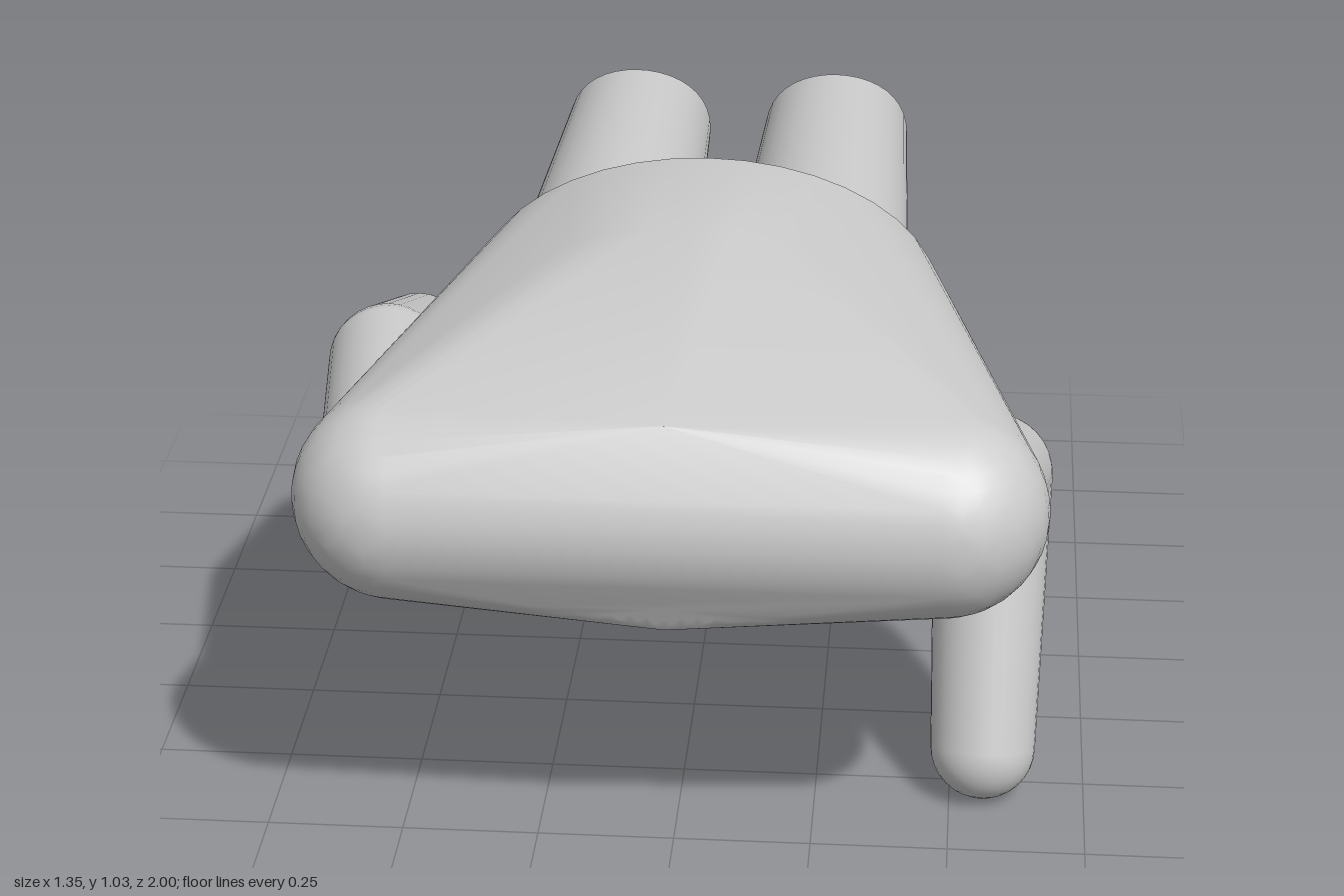
import * as THREE from 'three';
import { ConvexGeometry } from 'three/addons/geometries/ConvexGeometry.js';
import { toCreasedNormals } from 'three/addons/utils/BufferGeometryUtils.js';

const V = (x, y, z) => new THREE.Vector3(x, y, z);
const grey = new THREE.MeshStandardMaterial({ color: 0xcccccc, side: THREE.DoubleSide });

function add(parent, name, geometry) {
  const mesh = new THREE.Mesh(geometry, grey);
  mesh.name = name;
  parent.add(mesh);
  return mesh;
}

// Points of an upright elliptical section at depth z
function ring(cy, a, b, z, n = 40) {
  return Array.from({ length: n }, (_, i) => {
    const t = (i / n) * Math.PI * 2;
    return V(a * Math.cos(t), cy + b * Math.sin(t), z);
  });
}

// Points of a round shoulder
function ball(c, r) {
  const p = new THREE.SphereGeometry(r, 32, 20).attributes.position;
  return Array.from({ length: p.count }, (_, i) => V(0, 0, 0).fromBufferAttribute(p, i).add(c));
}

// Split long edges around the belly so the hollow can be shaped there
function refine(tri, out) {
  let best = -1, length = 0.035;
  for (let i = 0; i < 3; i++) {
    const a = tri[i], b = tri[(i + 1) % 3], d = a.distanceTo(b);
    const near = Math.min(a.y, b.y) < 0.56 && Math.min(Math.abs(a.x), Math.abs(b.x)) < 0.2 || a.x * b.x < 0 && Math.max(a.y, b.y) < 0.6;
    if (near && d > length) { best = i; length = d; }
  }
  if (best < 0) { out.push(...tri); return; }
  const a = tri[best], b = tri[(best + 1) % 3], c = tri[(best + 2) % 3];
  const m = a.clone().add(b).multiplyScalar(0.5);
  refine([a, m, c], out);
  refine([m, b, c], out);
}

// Trough under the belly, widening toward the front
function hollow(p) {
  if (p.y > 0.5 || p.z < -0.05 || p.z > 0.75) return p;
  const s = Math.max(0, p.z - 0.31);
  const w = 0.08 + Math.min(0.07, s * 0.3);
  const u = Math.abs(p.x) / w;
  const y = u < 1 ? 0.36 + s * 0.15 + 0.04 * Math.sqrt(1 - u * u) : 0;
  return V(p.x, Math.max(p.y, y), p.z);
}

function torsoGeometry() {
  const hull = new ConvexGeometry([
    ...ball(V(0.475, 0.72, 0.815), 0.185),
    ...ball(V(-0.475, 0.72, 0.815), 0.185),
    V(0, 0.92, 0.93), V(0, 0.53, 0.93),
    ...ring(0.68, 0.49, 0.35, 0.31),
    ...ring(0.72, 0.45, 0.28, -0.115),
    ...ring(0.72, 0.43, 0.25, -0.135),
  ]).attributes.position;
  const out = [];
  for (let i = 0; i < hull.count; i += 3) {
    refine([0, 1, 2].map((k) => V(0, 0, 0).fromBufferAttribute(hull, i + k)), out);
  }
  const geometry = new THREE.BufferGeometry().setFromPoints(out.map(hollow));
  return toCreasedNormals(geometry, 0.4);
}

// Tapered limb with round ends
function limb(parent, name, p0, r0, p1, r1) {
  const dir = p1.clone().sub(p0), length = dir.length(), profile = [];
  for (let i = 0; i <= 8; i++) {
    const t = (i / 16 - 0.5) * Math.PI;
    profile.push(new THREE.Vector2(r0 * Math.cos(t), r0 * Math.sin(t)));
  }
  for (let i = 0; i <= 8; i++) {
    const t = (i / 16) * Math.PI;
    profile.push(new THREE.Vector2(r1 * Math.cos(t), length + r1 * Math.sin(t)));
  }
  const mesh = add(parent, name, new THREE.LatheGeometry(profile, 32));
  mesh.position.copy(p0);
  mesh.quaternion.setFromUnitVectors(V(0, 1, 0), dir.normalize());
}

// Tapered leg whose end is scooped across its width
function legGeometry() {
  const L = 0.86, r0 = 0.179, r1 = 0.153, profile = [[0, 0], [r0, 0]];
  for (let i = 6; i >= 0; i--) profile.push([(r1 * i) / 6, L]);
  const geometry = new THREE.LatheGeometry(profile.map((p) => new THREE.Vector2(...p)), 40);
  const p = geometry.attributes.position;
  for (let i = 0; i < p.count; i++) {
    if (p.getY(i) > L - 0.01) p.setY(i, L + 0.06 * (p.getX(i) / r1) ** 2);
  }
  geometry.rotateX(-Math.PI / 2);
  return toCreasedNormals(geometry, 0.6);
}

export function createModel() {
  const model = new THREE.Group();
  model.name = 'torso figure';
  add(model, 'torso', torsoGeometry());

  // Legs
  for (const [name, side] of [['leftLeg', 1], ['rightLeg', -1]]) {
    add(model, name, legGeometry()).position.set(side * 0.2125, 0.724, -0.08);
  }

  // Left arm bends down, right arm trails back
  const arms = [
    ['left', V(0.5, 0.70, 0.76), V(0.563, 0.58, 0.367), V(0.56, 0.098, 0.54)],
    ['right', V(-0.5, 0.72, 0.76), V(-0.565, 0.745, 0.32), V(-0.567, 0.615, -0.065)],
  ];
  for (const [side, shoulder, elbow, hand] of arms) {
    const arm = new THREE.Group();
    arm.name = side + 'Arm';
    limb(arm, side + 'UpperArm', shoulder, 0.125, elbow, 0.11);
    limb(arm, side + 'Forearm', elbow, 0.11, hand, 0.097);
    model.add(arm);
  }
  return model;
}
